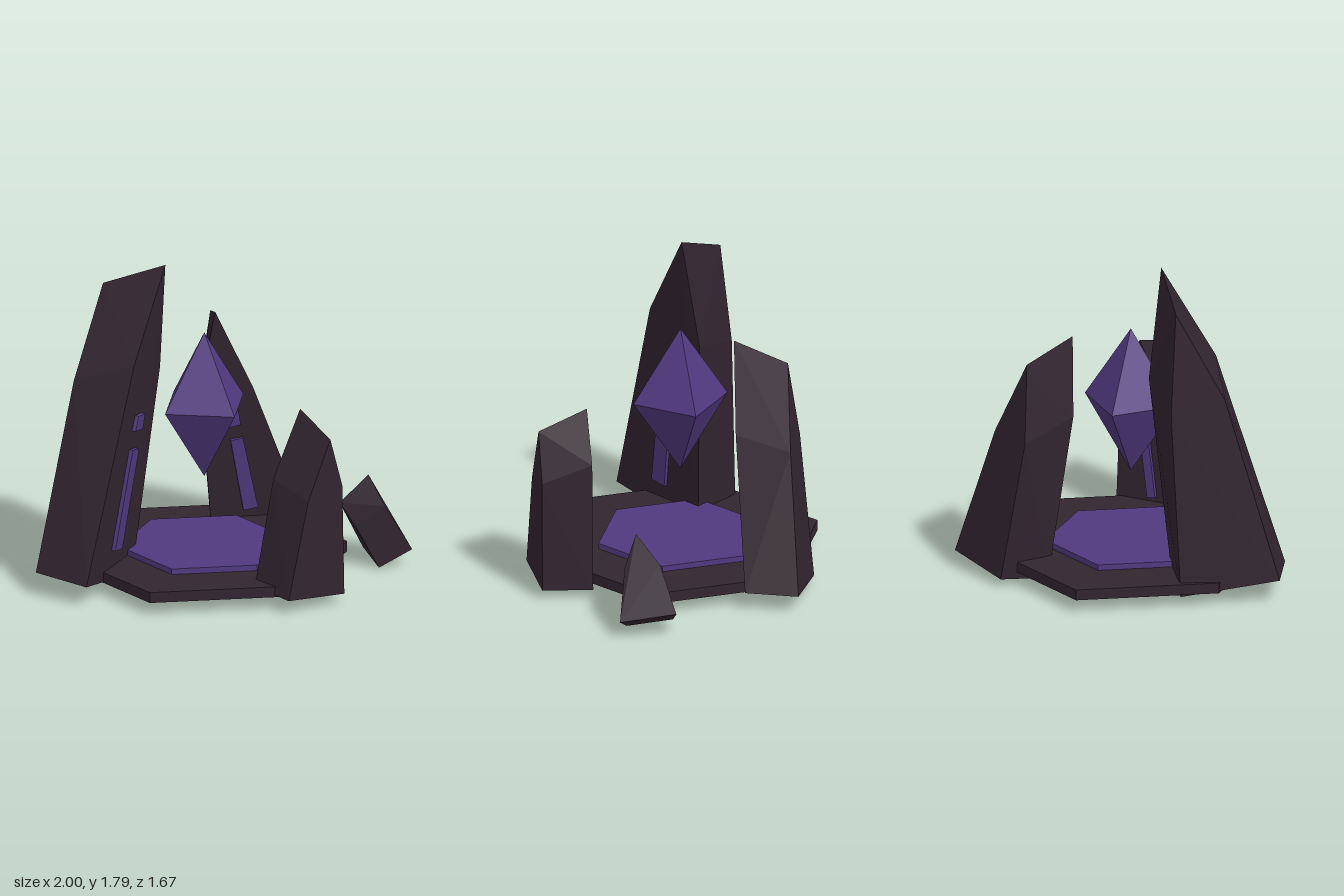
import * as THREE from 'three';
import { ConvexGeometry } from 'three/addons/geometries/ConvexGeometry.js';

const stone = new THREE.MeshStandardMaterial({ color: 0x32252f, flatShading: true });
stone.name = 'dark stone';
const violet = new THREE.MeshStandardMaterial({ color: 0x523980, flatShading: true });
violet.name = 'violet crystal';

const CX = -0.025, CZ = -0.05;
const vec = (p) => new THREE.Vector3(...p);

function add(parent, name, geometry, material) {
  const mesh = new THREE.Mesh(geometry, material);
  mesh.name = name;
  parent.add(mesh);
  return mesh;
}

// Hexagonal slab with a corner pointing to the front
function hexSlab(parent, name, radius, y0, y1, material) {
  const slab = add(parent, name, new THREE.CylinderGeometry(radius, radius, y1 - y0, 6), material);
  slab.position.set(CX, (y0 + y1) / 2, CZ);
}

// Pentagonal standing stone: inner and outer faces, each base, base, kink, peak, kink
function shard(parent, name, inner, outer) {
  add(parent, name, new ConvexGeometry([...inner, ...outer].map(vec)), stone);
}

// Raised rune on the plane through three points of a stone's inner face.
// Corners are given as x, y; the plane supplies z.
function rune(parent, name, [a, b, c], corners, depth = 0.022) {
  const plane = new THREE.Plane().setFromCoplanarPoints(vec(a), vec(b), vec(c));
  const n = plane.normal;
  const toCentre = new THREE.Vector3(CX, 0.5, CZ);
  const out = n.clone().multiplyScalar(plane.distanceToPoint(toCentre) > 0 ? depth : -depth);
  const points = [];
  for (const [x, y] of corners) {
    const p = new THREE.Vector3(x, y, -(plane.constant + n.x * x + n.y * y) / n.z);
    points.push(p.clone().addScaledVector(out, -0.5), p.clone().add(out));
  }
  add(parent, name, new ConvexGeometry(points), violet);
}

export function createModel() {
  const model = new THREE.Group();
  model.name = 'crystalShrine';

  // Platform
  hexSlab(model, 'platform', 0.785, 0.08, 0.14, stone);
  hexSlab(model, 'platformInlay', 0.47, 0.13, 0.172, violet);

  // Floating crystal
  const crystal = add(model, 'floatingCrystal', new THREE.OctahedronGeometry(1), violet);
  crystal.scale.set(0.27, 0.415, 0.27);
  crystal.position.set(CX, 0.97, CZ);

  // Tall stone
  const tall = [[-0.9, 0.125, 0.03], [-0.36, 0.008, -0.26], [-0.2, 1.18, -0.217],
    [-0.235, 1.8, -0.125], [-0.52, 1.3, -0.037]];
  shard(model, 'tallStone', tall,
    [[-1, 0.142, -0.29], [-0.515, 0.06, -0.525], [-0.44, 1.08, -0.48],
      [-0.44, 1.66, -0.414], [-0.7, 1.17, -0.34]]);
  const tallPlane = [tall[0], tall[1], tall[3]];
  rune(model, 'tallStoneBar', tallPlane,
    [[-0.628, 0.243], [-0.543, 0.227], [-0.43, 0.783], [-0.505, 0.8]]);
  rune(model, 'tallStoneDot', tallPlane,
    [[-0.49, 0.906], [-0.404, 0.89], [-0.388, 0.976], [-0.463, 0.987]]);

  // Middle stone
  const middle = [[0.755, 0.12, -0.165], [0.313, 0.008, -0.414], [0.187, 0.95, -0.357],
    [0.225, 1.385, -0.275], [0.44, 0.92, -0.215]];
  shard(model, 'middleStone', middle,
    [[0.85, 0.1, -0.44], [0.497, 0.055, -0.645], [0.37, 0.85, -0.605],
      [0.39, 1.285, -0.53], [0.6, 0.85, -0.476]]);
  const middlePlane = [middle[0], middle[1], middle[3]];
  rune(model, 'middleStoneBar', middlePlane,
    [[0.355, 0.612], [0.415, 0.623], [0.52, 0.2], [0.45, 0.185]]);
  rune(model, 'middleStoneDot', middlePlane,
    [[0.302, 0.767], [0.382, 0.783], [0.398, 0.703], [0.323, 0.687]]);

  // Front stone, its runes facing the crystal
  const front = [[-0.125, 0.1, 0.527], [0.313, 0.055, 0.56], [0.285, 0.78, 0.557],
    [0.17, 1.07, 0.55], [-0.005, 0.7, 0.537]];
  shard(model, 'frontStone', front,
    [[-0.107, 0.09, 0.805], [0.255, 0.062, 0.833], [0.243, 0.69, 0.83],
      [0.165, 0.97, 0.825], [0.02, 0.64, 0.815]]);
  const frontPlane = [front[0], front[1], front[3]];
  rune(model, 'frontStoneBar', frontPlane,
    [[0.065, 0.17], [0.115, 0.165], [0.155, 0.485], [0.105, 0.49]]);
  rune(model, 'frontStoneDot', frontPlane,
    [[0.11, 0.56], [0.175, 0.55], [0.185, 0.63], [0.12, 0.64]]);

  // Small fallen stone
  shard(model, 'smallStone',
    [[0.745, 0.013, 0.51], [0.82, 0.05, 0.27], [0.7, 0.28, 0.29],
      [0.575, 0.39, 0.38], [0.635, 0.26, 0.44]],
    [[0.904, 0.11, 0.6], [0.995, 0.157, 0.307], [0.85, 0.395, 0.352],
      [0.72, 0.54, 0.448], [0.77, 0.37, 0.53]]);

  return model;
}
